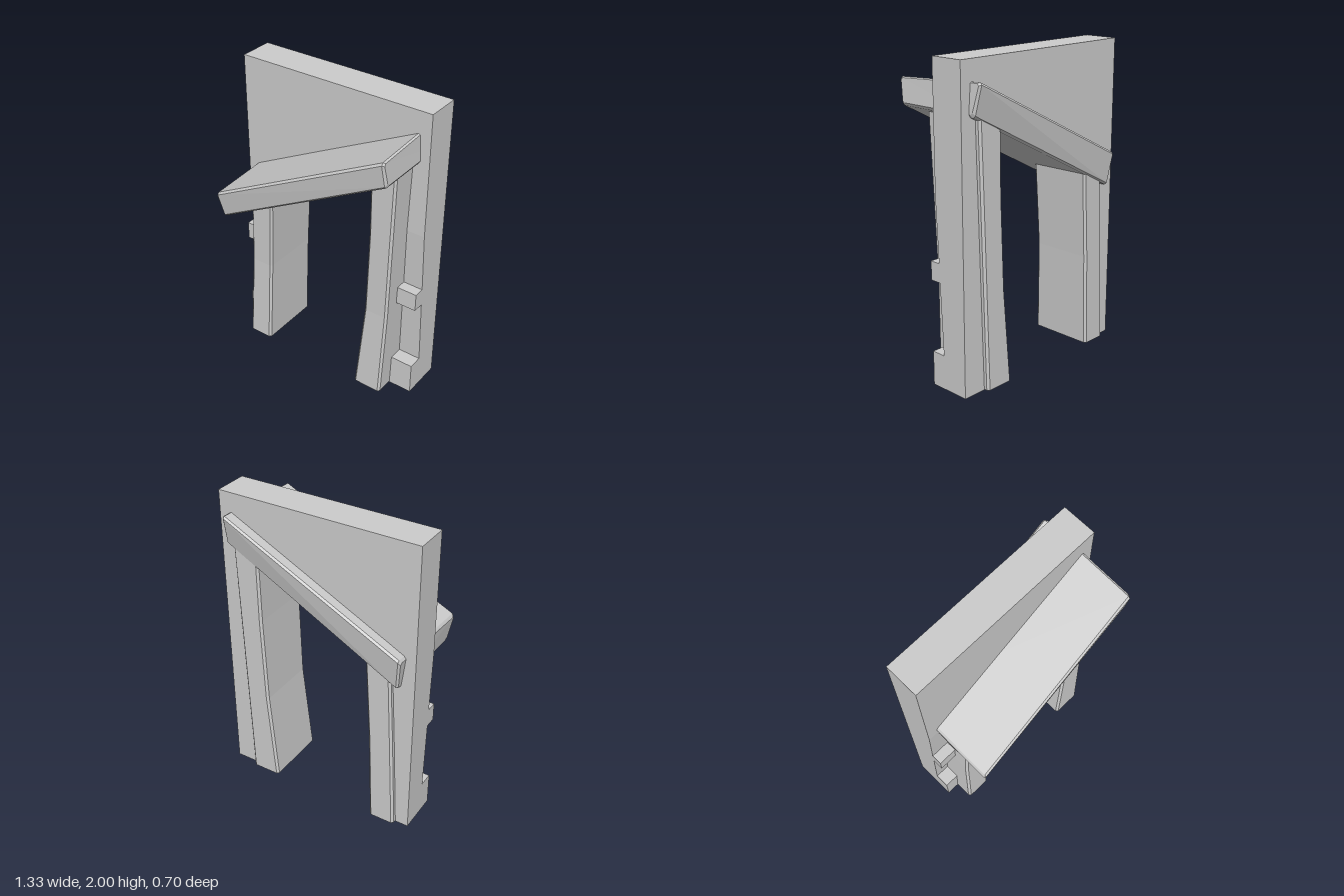
import * as THREE from 'three';

const material = new THREE.MeshStandardMaterial({ color: 0xcccccc, flatShading: true });

// Cut each corner of a four-sided section, giving eight points.
function chamfer(quad, r) {
  return quad.flatMap((p, i) => [quad[(i + 3) % 4], quad[(i + 1) % 4]].map(
    (q) => p.clone().addScaledVector(q.clone().sub(p).normalize(), r)));
}

// Skin a row of sections (counter-clockwise about the direction of travel) and cap both ends.
function loft(sections) {
  const n = sections[0].length;
  const last = (sections.length - 1) * n;
  const index = [];
  for (let s = 0; s < sections.length - 1; s++) {
    for (let j = 0; j < n; j++) {
      const a = s * n + j, b = s * n + (j + 1) % n;
      index.push(a, b, b + n, a, b + n, a + n);
    }
  }
  for (let j = 1; j < n - 1; j++) {
    index.push(0, j + 1, j, last, last + j, last + j + 1);
  }
  const geometry = new THREE.BufferGeometry().setFromPoints(sections.flat());
  geometry.setIndex(index);
  geometry.computeVertexNormals();
  return geometry;
}

function extrude(points, depth) {
  const shape = new THREE.Shape(points.map(([x, y]) => new THREE.Vector2(x, y)));
  return new THREE.ExtrudeGeometry(shape, { depth, bevelEnabled: false });
}

// Post from rows of [y, x0, x1, front z]; the top follows the slope of the lintel.
function post(rows, back) {
  return loft(rows.map(([y, x0, x1, front], i) => {
    const rise = i === rows.length - 1 ? (x1 - x0) * 0.527 : 0;
    return chamfer([
      new THREE.Vector3(x0, y, front), new THREE.Vector3(x1, y + rise, front),
      new THREE.Vector3(x1, y + rise, back), new THREE.Vector3(x0, y, back),
    ], 0.014);
  }));
}

export function createModel() {
  const group = new THREE.Group();
  const add = (name, geometry) => {
    const mesh = new THREE.Mesh(geometry, material);
    mesh.name = name;
    group.add(mesh);
  };

  // Wall above the doorway, with a sloping opening edge hidden inside the lintel
  const upper = extrude([
    [-0.665, 1.2], [-0.46, 1.2], [-0.46, 1.22], [0.44, 1.695],
    [0.44, 1.2], [0.665, 1.2], [0.665, 2], [-0.665, 2],
  ], 0.224);
  add('upperWall', upper.translate(0, 0, -0.275));

  // Wall sides, with the foot block and the middle block in the side profile
  const profile = [
    [-0.275, 0], [0, 0], [0, 0.22], [-0.095, 0.22], [-0.074, 0.68],
    [0, 0.68], [0, 0.8], [-0.07, 0.8], [-0.051, 1.2], [-0.275, 1.2],
  ];
  for (const [name, x0, x1] of [['rightWallSide', -0.665, -0.46], ['leftWallSide', 0.44, 0.665]]) {
    add(name, extrude(profile, x1 - x0).rotateY(-Math.PI / 2).translate(x1, 0, 0));
  }

  // Leaning posts
  add('rightPost', post([
    [0.005, -0.578, -0.403, 0.126], [0.62, -0.548, -0.384, 0.106],
    [1.13, -0.52, -0.352, 0.115],
  ], -0.31));
  add('leftPost', post([
    [0.005, 0.31, 0.508, 0.126], [0.62, 0.362, 0.527, 0.106],
    [1.2, 0.383, 0.545, 0.113], [1.6, 0.388, 0.56, 0.12],
  ], -0.31));

  // Sloping lintel with bevelled edges and ends
  const low = [[-0.6, 1.235, 0.355], [-0.576, 1.055, 0.32], [-0.576, 1.065, -0.32], [-0.6, 1.285, -0.35]];
  const high = [[0.594, 1.845, 0.315], [0.607, 1.68, 0.29], [0.607, 1.685, -0.31], [0.594, 1.885, -0.356]];
  const section = (t, inset) => {
    const quad = low.map((p, i) => new THREE.Vector3(...p).lerp(new THREE.Vector3(...high[i]), t));
    const centre = quad.reduce((sum, p) => sum.add(p), new THREE.Vector3()).divideScalar(4);
    quad.forEach((p) => {
      p.y -= Math.sign(p.y - centre.y) * inset;
      p.z -= Math.sign(p.z) * inset;
    });
    return chamfer(quad, 0.014);
  };
  add('lintel', loft([section(0, 0.012), section(0.01, 0), section(0.99, 0), section(1, 0.012)]));

  return group;
}
